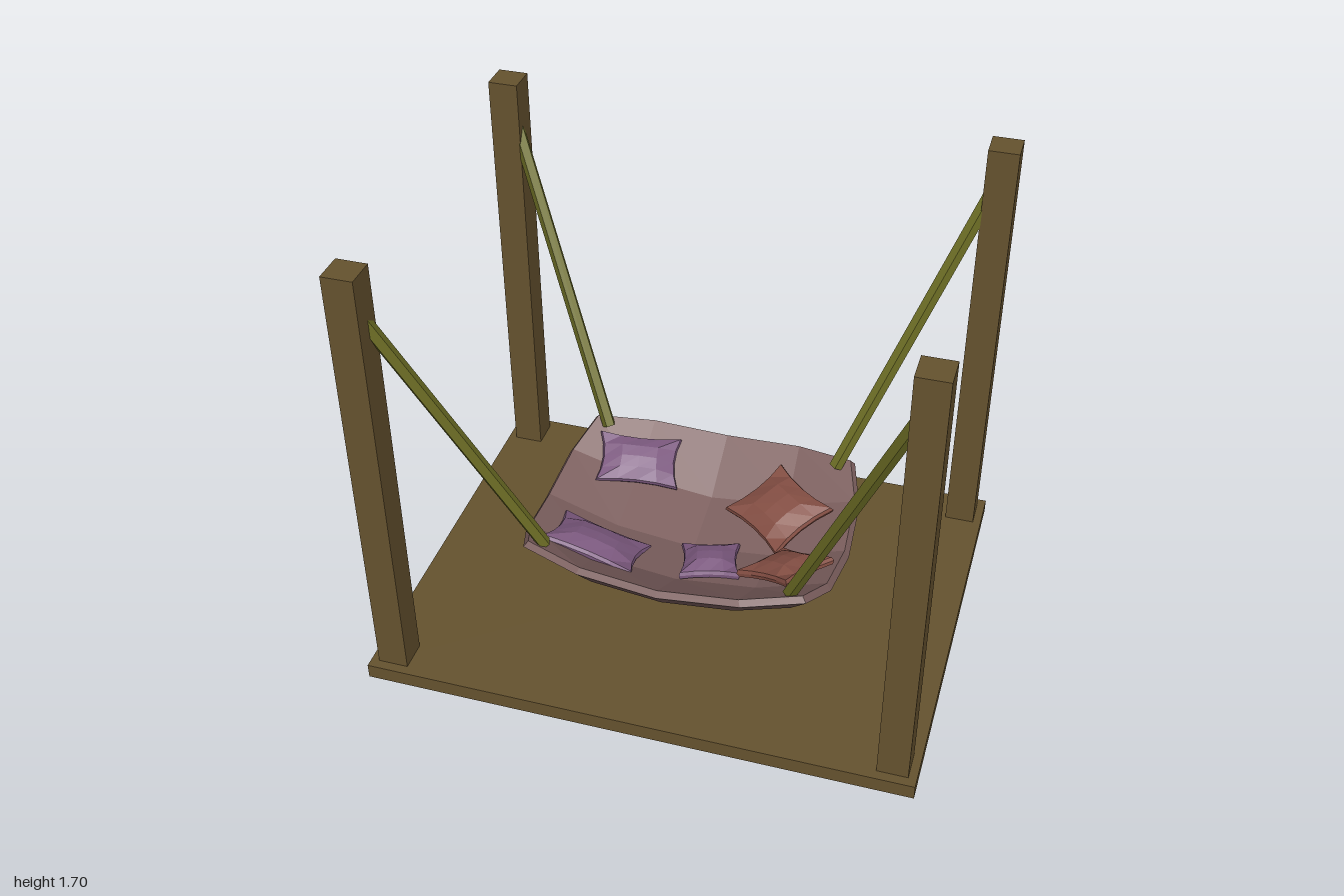
import * as THREE from 'three';

const WOOD = 0x66532f, ROPE = 0x6f7026, CLOTH = 0x7d605f, PLUM = 0x7d5a80, RUST = 0x854f44;
const THICK = 0.06;

function makeMesh(name, geometry, color) {
  const material = new THREE.MeshStandardMaterial({ color, flatShading: true });
  const mesh = new THREE.Mesh(geometry, material);
  mesh.name = name;
  return mesh;
}

// Height of the underside of the sagging cloth
const sag = (x, z) => 0.155 + 0.39 * x * x + 0.9 * z * z;

// Plan of the cloth: a 5 x 5 grid bulging to a rounded rectangle
const GRID_X = [[0, 0, 0], [0.3, 0.3, 0.3], [0.59, 0.575, 0.52]];
const GRID_Z = [[0, 0, 0], [0.24, 0.24, 0.24], [0.475, 0.46, 0.4]];

function clothPoint(i, j, edgeScale, lift) {
  const a = Math.abs(i), b = Math.abs(j);
  const s = a === 2 || b === 2 ? edgeScale : 1;
  const x = Math.sign(i) * GRID_X[a][b] * s;
  const z = Math.sign(j) * GRID_Z[b][a] * s;
  return [x, sag(x, z) + lift, z];
}

function clothGeometry() {
  const positions = [];
  const quad = (a, b, c, d) => positions.push(...a, ...b, ...c, ...a, ...c, ...d);
  const top = (i, j) => clothPoint(i, j, 0.97, THICK);
  const rim = (i, j) => clothPoint(i, j, 1, 0.024);
  const under = (i, j) => clothPoint(i, j, 0.88, 0);
  // Upper and lower skins
  for (let i = -2; i < 2; i++) {
    for (let j = -2; j < 2; j++) {
      quad(top(i, j), top(i, j + 1), top(i + 1, j + 1), top(i + 1, j));
      quad(under(i, j), under(i + 1, j), under(i + 1, j + 1), under(i, j + 1));
    }
  }
  // Bevelled rim, walked around the outline
  const loop = [];
  for (let k = -2; k < 2; k++) loop.push([k, 2]);
  for (let k = 2; k > -2; k--) loop.push([2, k]);
  for (let k = 2; k > -2; k--) loop.push([k, -2]);
  for (let k = -2; k < 2; k++) loop.push([-2, k]);
  loop.forEach((p, k) => {
    const q = loop[(k + 1) % loop.length];
    quad(under(...p), under(...q), rim(...q), rim(...p));
    quad(rim(...p), rim(...q), top(...q), top(...p));
  });
  const geometry = new THREE.BufferGeometry();
  geometry.setAttribute('position', new THREE.Float32BufferAttribute(positions, 3));
  geometry.computeVertexNormals();
  return geometry;
}

// Cushion: a box with pinched sides and a swollen middle
function cushionGeometry(width, depth, half) {
  const geometry = new THREE.BoxGeometry(2, 2, 2, 4, 2, 4);
  const p = geometry.attributes.position;
  for (let n = 0; n < p.count; n++) {
    const a = p.getX(n), y = p.getY(n), c = p.getZ(n);
    const swell = 0.3 + 0.7 * Math.sqrt((1 - a * a) * (1 - c * c));
    const inset = y === 0 ? 1 : 0.96;
    p.setXYZ(n,
      a * inset * (1 - 0.13 * (1 - c * c)) * width / 2,
      y * half * swell,
      c * inset * (1 - 0.13 * (1 - a * a)) * depth / 2);
  }
  geometry.computeVertexNormals();
  return geometry;
}

function addCushion(group, name, color, x, z, width, depth, yaw, lift) {
  const mesh = makeMesh(name, cushionGeometry(width, depth, 0.045), color);
  mesh.position.set(x, sag(x, z) + THICK + lift, z);
  // Lie along the slope of the cloth
  const up = new THREE.Vector3(0, 1, 0);
  const normal = new THREE.Vector3(-0.78 * x, 1, -1.8 * z).normalize();
  mesh.quaternion.setFromUnitVectors(up, normal);
  mesh.rotateY(yaw);
  group.add(mesh);
}

function ropeMesh(name, from, to) {
  const direction = to.clone().sub(from);
  const mesh = makeMesh(name, new THREE.CylinderGeometry(0.026, 0.026, direction.length(), 5), ROPE);
  mesh.position.copy(from).add(to).multiplyScalar(0.5);
  mesh.quaternion.setFromUnitVectors(new THREE.Vector3(0, 1, 0), direction.normalize());
  return mesh;
}

export function createModel() {
  const model = new THREE.Group();
  model.name = 'hangingLounger';

  // Platform
  const platform = makeMesh('platform', new THREE.BoxGeometry(2, 0.056, 1.55), WOOD);
  platform.position.y = 0.028;
  model.add(platform);

  // Four posts, each with a rope to a corner of the cloth
  for (const sx of [1, -1]) {
    for (const sz of [1, -1]) {
      const corner = (sz > 0 ? 'front' : 'back') + (sx > 0 ? 'Left' : 'Right');
      const post = makeMesh(corner + 'Post', new THREE.BoxGeometry(0.11, 1.66, 0.11), WOOD);
      post.position.set(sx * 0.915, 0.87, sz * 0.685);
      model.add(post);
      model.add(ropeMesh(corner + 'Rope',
        new THREE.Vector3(sx * 0.453, 0.43, sz * 0.363),
        new THREE.Vector3(sx * 0.89, 1.53, sz * 0.675)));
    }
  }

  // Sagging cloth
  model.add(makeMesh('hammockCloth', clothGeometry(), CLOTH));

  // Scattered cushions
  const cushions = new THREE.Group();
  cushions.name = 'cushions';
  addCushion(cushions, 'backRightCushion', PLUM, -0.305, -0.275, 0.32, 0.21, 0.22, 0.035);
  addCushion(cushions, 'frontRightCushion', PLUM, -0.315, 0.195, 0.36, 0.27, -0.02, 0.035);
  addCushion(cushions, 'smallCushion', PLUM, 0.095, 0.115, 0.22, 0.23, 0.25, 0.04);
  addCushion(cushions, 'backLeftCushion', RUST, 0.285, -0.16, 0.32, 0.28, -0.68, 0.07);
  addCushion(cushions, 'frontLeftCushion', RUST, 0.395, 0.19, 0.26, 0.24, -0.53, 0.075);
  model.add(cushions);

  return model;
}
